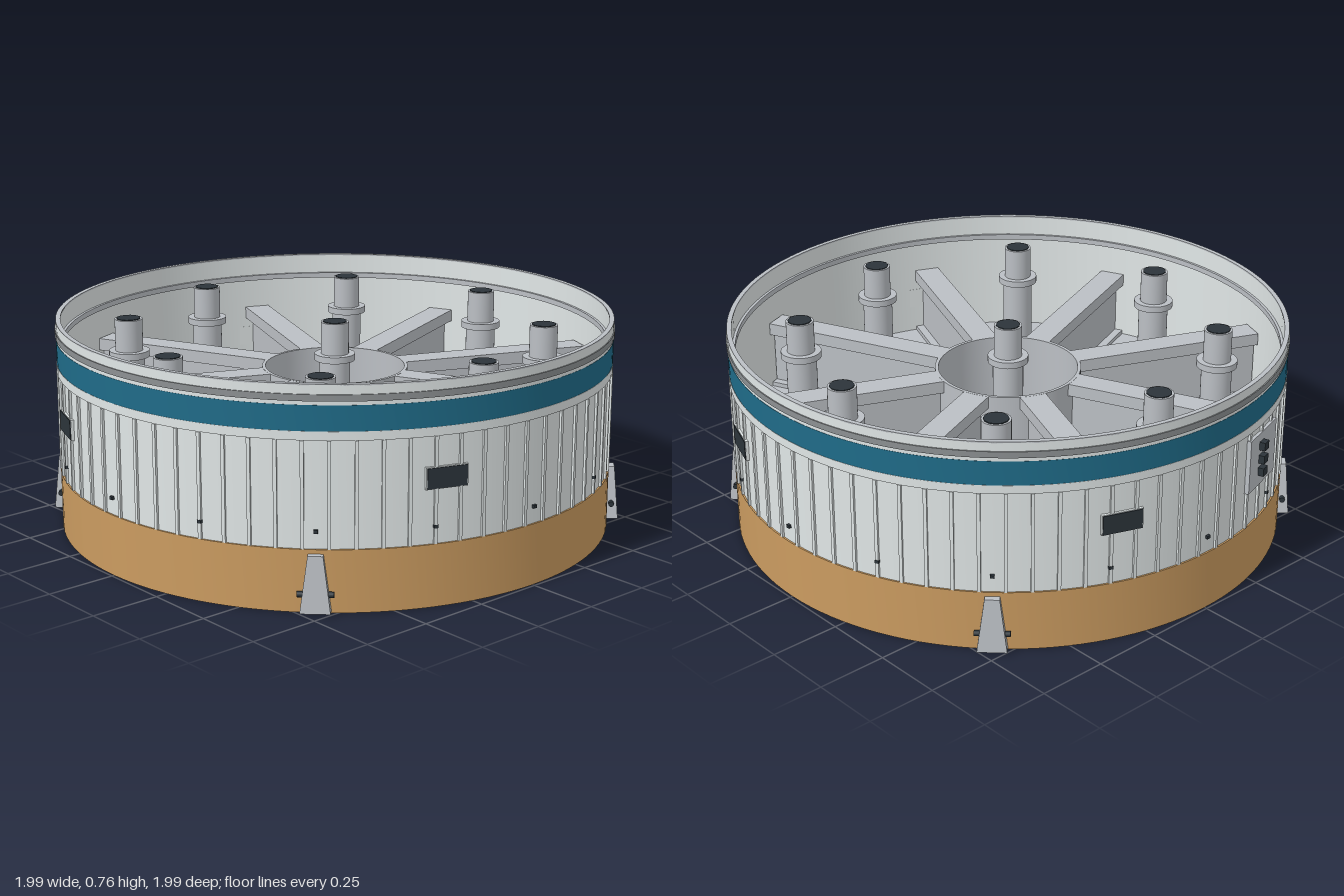
import * as THREE from 'three';
import { mergeGeometries, toCreasedNormals } from 'three/addons/utils/BufferGeometryUtils.js';

const mat = (name, color) => {
  const m = new THREE.MeshStandardMaterial({ color });
  m.name = name;
  return m;
};

export function createModel() {
  const root = new THREE.Group();
  const shellGrey = mat('shell light grey', 0xe0e6e6);
  const midGrey = mat('structure grey', 0xbbbfc4);
  const ringGrey = mat('ring grey', 0x8c9092);
  const teal = mat('teal band', 0x1f6b88);
  const tan = mat('tan insulation', 0xca9b60);
  const dark = mat('dark fittings', 0x2c343a);

  const add = (name, geo, m, parent = root) => {
    const mesh = new THREE.Mesh(geo, m);
    mesh.name = name;
    parent.add(mesh);
    return mesh;
  };
  // Rectangular-section ring around the y axis
  const ring = (ri, ro, y0, y1, seg = 128) => {
    const p = [[ri, y0], [ro, y0], [ro, y1], [ri, y1], [ri, y0]];
    const g = new THREE.LatheGeometry(p.map(([x, y]) => new THREE.Vector2(x, y)), seg);
    return toCreasedNormals(g, 0.6);
  };
  // Moves a geometry to polar position; its local z then points outward
  const polar = (g, deg, r, y) => {
    const a = THREE.MathUtils.degToRad(deg);
    return g.rotateY(a).translate(r * Math.sin(a), y, r * Math.cos(a));
  };
  const box = (w, h, d) => new THREE.BoxGeometry(w, h, d);
  const cyl = (r, y0, y1, seg = 32) =>
    new THREE.CylinderGeometry(r, r, y1 - y0, seg).translate(0, (y0 + y1) / 2, 0);
  const around = (n, start, make) =>
    mergeGeometries(Array.from({ length: n }, (_, i) => make(start + (i * 360) / n)));

  // Outer wall and its bands
  add('shellWall', ring(0.974, 0.985, 0.004, 0.755), shellGrey);
  add('skirtBand', ring(0.98, 0.991, 0, 0.215), tan);
  add('tealBand', ring(0.98, 0.991, 0.607, 0.692), teal);
  add('stringerCapRing', ring(0.98, 0.992, 0.577, 0.607), shellGrey);
  add('lipBase', ring(0.98, 0.99, 0.692, 0.705), shellGrey);
  add('jointRing', ring(0.98, 0.994, 0.705, 0.727), ringGrey);
  add('topLip', ring(0.98, 0.99, 0.727, 0.757), shellGrey);
  add('rimCap', ring(0.973, 0.99, 0.755, 0.76), midGrey);
  add('innerTopRing', ring(0.964, 0.975, 0.665, 0.685), midGrey);
  add('innerSkirtRing', ring(0.955, 0.975, 0.11, 0.13), shellGrey);

  // Vertical stringers around the wall
  add('stringers', around(72, 2.5, a => polar(box(0.012, 0.36, 0.012), a, 0.987, 0.396)), shellGrey);

  // Small vents, access windows and their frames
  add('vents', around(16, 0, a => polar(box(0.014, 0.011, 0.016), a, 0.987, 0.275)), dark);
  add('windowFrames', around(4, -20.4, a => polar(box(0.146, 0.074, 0.02), a, 0.983, 0.438)), shellGrey);
  add('windows', around(4, -20.4, a => polar(box(0.139, 0.069, 0.008), a, 0.992, 0.438)), dark);

  // Umbilical plate with three connectors
  const umbilical = new THREE.Group();
  umbilical.name = 'umbilicalPanel';
  root.add(umbilical);
  add('umbilicalPlate', polar(box(0.21, 0.2, 0.022), -72, 0.984, 0.452), midGrey, umbilical);
  for (const y of [0.408, 0.455, 0.505])
    add('connector', polar(box(0.032, 0.03, 0.024), -73, 1.004, y), dark, umbilical);

  // Four tapered hold-down feet
  for (let i = 0; i < 4; i++) {
    const foot = new THREE.Group();
    foot.name = 'holdDownFoot';
    root.add(foot);
    const g = box(0.1, 0.19, 0.065);
    const p = g.attributes.position;
    for (let k = 0; k < p.count; k++) {
      if (p.getY(k) > 0) {
        p.setX(k, p.getX(k) * 0.5);
        if (p.getZ(k) > 0) p.setZ(k, 0.016);
      }
    }
    g.computeVertexNormals();
    add('footBody', polar(g, 45 + i * 90, 0.997, 0.105), midGrey, foot);
    const bolt = new THREE.CylinderGeometry(0.01, 0.01, 0.12, 10).rotateZ(Math.PI / 2);
    add('footBolt', polar(bolt, 45 + i * 90, 1.004, 0.068), dark, foot);
  }

  // Floor: grey deck above, insulated heat shield below
  add('deck', cyl(0.975, 0.285, 0.3, 96), midGrey);
  add('heatShield', cyl(0.975, 0.272, 0.285, 96), tan);
  add('heatShieldEdge', ring(0.965, 0.975, 0.267, 0.273), dark);
  add('shieldSeams', around(8, 22.5, a => polar(box(0.013, 0.006, 0.78), a, 0.58, 0.271)), dark);

  // Engine openings closed by round covers: one central and eight around
  const spots = [[0, 0]];
  for (let i = 0; i < 8; i++) spots.push([i * 45, 0.745]);
  const rivets = [];
  const rivet = () => new THREE.CylinderGeometry(0.006, 0.006, 0.005, 6);
  for (const [deg, r] of spots) {
    const engine = new THREE.Group();
    engine.name = 'engineStation';
    root.add(engine);
    add('coverRim', polar(ring(0.183, 0.193, 0.26, 0.275, 48), deg, r, 0), dark, engine);
    add('cover', polar(cyl(0.184, 0.261, 0.275, 48), deg, r, 0), midGrey, engine);
    // Feed pipe with collar and dark open end
    add('pipeLower', polar(cyl(0.055, 0.29, 0.59), deg, r, 0), midGrey, engine);
    add('pipeCollar', polar(cyl(0.073, 0.578, 0.602), deg, r, 0), midGrey, engine);
    add('pipeUpper', polar(cyl(0.05, 0.6, 0.718), deg, r, 0), midGrey, engine);
    add('pipeMouth', polar(cyl(0.043, 0.716, 0.721, 12), deg, r, 0), dark, engine);
    for (let k = 0; k < 16; k++)
      rivets.push(polar(polar(rivet(), k * 22.5 + 11, 0.218, 0.271), deg, r, 0));
  }
  for (let i = 0; i < 8; i++)
    for (let k = 0; k < 10; k++)
      for (const s of [-0.03, 0.03])
        rivets.push(polar(rivet().translate(s, 0, 0), 22.5 + i * 45, 0.28 + k * 0.07, 0.271));
  add('rivets', mergeGeometries(rivets), shellGrey);

  // Central hub and eight radial I-beams
  add('hub', ring(0.25, 0.262, 0.29, 0.558, 64), midGrey);
  add('beamTops', around(8, 22.5, a => polar(box(0.095, 0.045, 0.715), a, 0.612, 0.535)), midGrey);
  add('beamWebs', around(8, 22.5, a => polar(box(0.035, 0.23, 0.715), a, 0.612, 0.405)), midGrey);
  add('beamFeet', around(8, 22.5, a => polar(box(0.095, 0.02, 0.715), a, 0.612, 0.306)), midGrey);

  return root;
}
